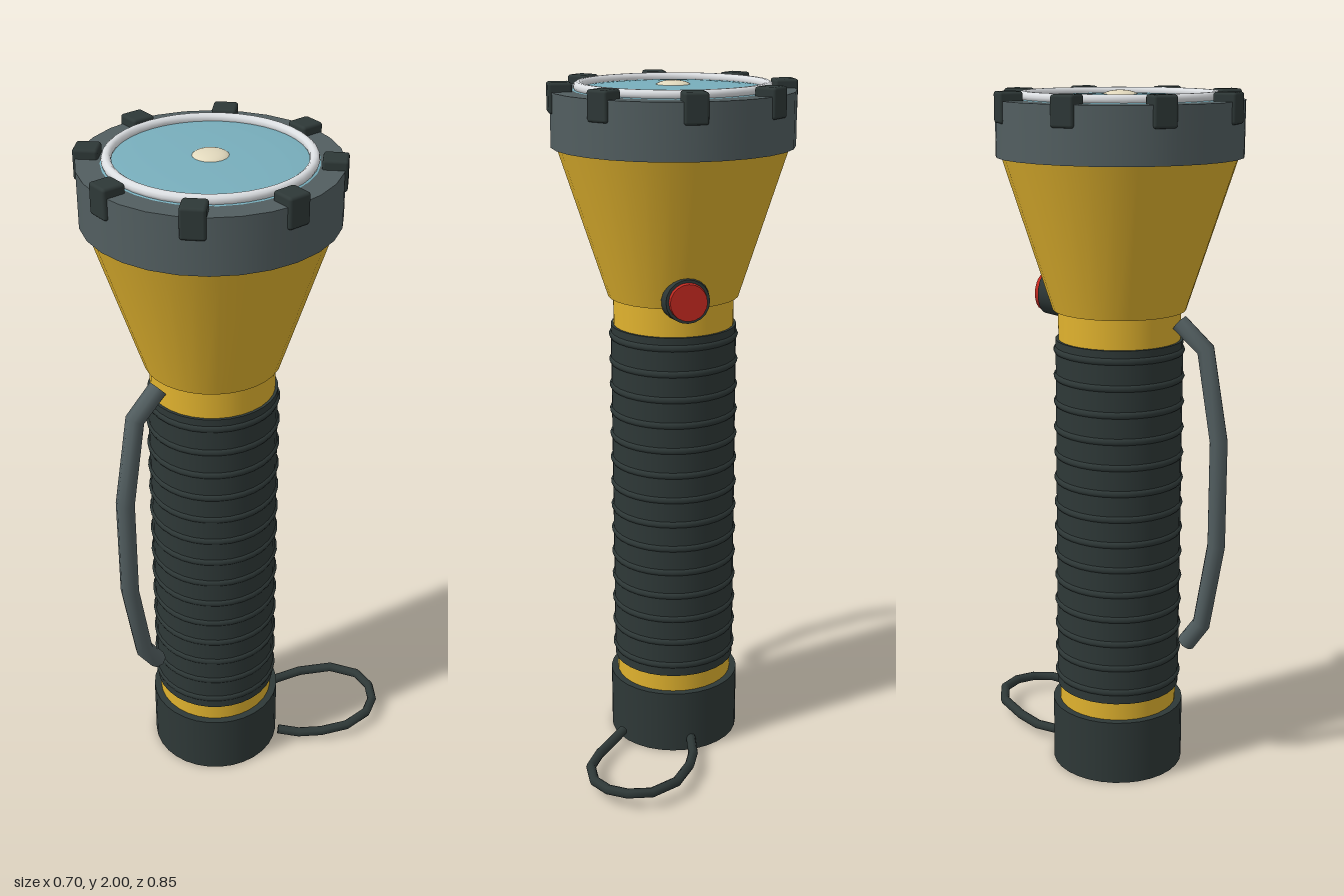
import * as THREE from 'three';
import { RoundedBoxGeometry } from 'three/addons/geometries/RoundedBoxGeometry.js';

const material = (name, color, side = THREE.FrontSide) => {
  const m = new THREE.MeshStandardMaterial({ color, side });
  m.name = name;
  return m;
};

// Tube with straight runs between the given points
function bentTube(points, radius) {
  const curve = new THREE.CatmullRomCurve3(points.map(p => new THREE.Vector3(...p)));
  curve.getPointAt = curve.getPoint;
  curve.getTangentAt = curve.getTangent;
  return new THREE.TubeGeometry(curve, points.length - 1, radius, 8);
}

export function createModel() {
  const yellow = material('yellow', 0xe0b22e);
  const rubber = material('black rubber', 0x2e3837, THREE.DoubleSide);
  const grey = material('dark grey', 0x525e60, THREE.DoubleSide);
  const blue = material('lens blue', 0x78aebc);
  const white = material('rim white', 0xdcdfe2);
  const cream = material('bulb cream', 0xe2d9bd);
  const red = material('button red', 0xc0281f);

  const model = new THREE.Group();
  model.name = 'flashlight';
  const torch = new THREE.Group();
  torch.name = 'torch';
  torch.position.z = 0.075;
  model.add(torch);

  const add = (parent, name, geometry, mat, x = 0, y = 0, z = 0) => {
    const mesh = new THREE.Mesh(geometry, mat);
    mesh.name = name;
    mesh.position.set(x, y, z);
    parent.add(mesh);
    return mesh;
  };
  // Upright cylinder between two heights
  const column = (name, y0, y1, r0, r1, mat, sides = 32) =>
    add(torch, name, new THREE.CylinderGeometry(r1, r0, y1 - y0, sides), mat, 0, (y0 + y1) / 2);

  // Body
  column('endCap', 0, 0.195, 0.196, 0.196, rubber);
  column('barrel', 0.15, 1.42, 0.175, 0.175, yellow);
  column('grip', 0.25, 1.31, 0.183, 0.183, rubber);
  for (let i = 0; i < 14; i++) {
    const rib = add(torch, 'gripRib', new THREE.TorusGeometry(0.177, 0.012, 8, 32), rubber, 0, 0.286 + i * 0.0764);
    rib.rotation.x = Math.PI / 2;
  }

  // Head
  column('headCone', 1.395, 1.83, 0.19, 0.331, yellow);
  column('bezel', 1.822, 1.975, 0.344, 0.344, grey, 28);
  for (let i = 0; i < 8; i++) {
    const a = i * Math.PI / 4;
    const lug = add(torch, 'bezelLug', new RoundedBoxGeometry(0.066, 0.084, 0.066, 2, 0.008), rubber,
      Math.sin(a) * 0.317, 1.958, Math.cos(a) * 0.317);
    lug.rotation.y = a;
  }

  // Lens, rim and bulb
  const lens = add(torch, 'lens', new THREE.SphereGeometry(0.285, 32, 12, 0, Math.PI * 2, 0, Math.PI / 2), blue, 0, 1.972);
  lens.scale.y = 0.06;
  const rim = add(torch, 'lensRim', new THREE.TorusGeometry(0.264, 0.0135, 10, 40), white, 0, 1.985);
  rim.rotation.x = Math.PI / 2;
  const bulb = add(torch, 'bulb', new THREE.SphereGeometry(0.05, 20, 10, 0, Math.PI * 2, 0, Math.PI / 2), cream, 0, 1.984);
  bulb.scale.y = 0.32;

  // Push button on the back
  const button = new THREE.Group();
  button.name = 'switch';
  button.position.set(0, 1.425, 0);
  button.rotation.x = -Math.PI / 2;
  model.add(button);
  add(button, 'switchHousing', new THREE.CylinderGeometry(0.062, 0.07, 0.06, 20), rubber, 0, 0.125);
  add(button, 'switchCap', new THREE.CylinderGeometry(0.052, 0.056, 0.03, 20), red, 0, 0.155);

  // Carry handle on the front
  add(model, 'handle', bentTube([
    [0, 1.37, 0.262], [0, 1.3, 0.342], [0, 1.04, 0.387],
    [0, 0.73, 0.387], [0, 0.48, 0.346], [0, 0.41, 0.298],
  ], 0.027), grey);

  // Wrist cord at the end cap
  add(model, 'wristCord', bentTube([
    [-0.02, 0.04, -0.11], [-0.01, 0.035, -0.2], [0.015, 0.042, -0.275], [0.07, 0.048, -0.365],
    [0.15, 0.05, -0.411], [0.22, 0.05, -0.404], [0.272, 0.048, -0.37], [0.304, 0.045, -0.314],
    [0.304, 0.04, -0.228], [0.268, 0.034, -0.15], [0.225, 0.032, -0.09], [0.18, 0.042, -0.04],
  ], 0.0145), rubber);

  return model;
}
